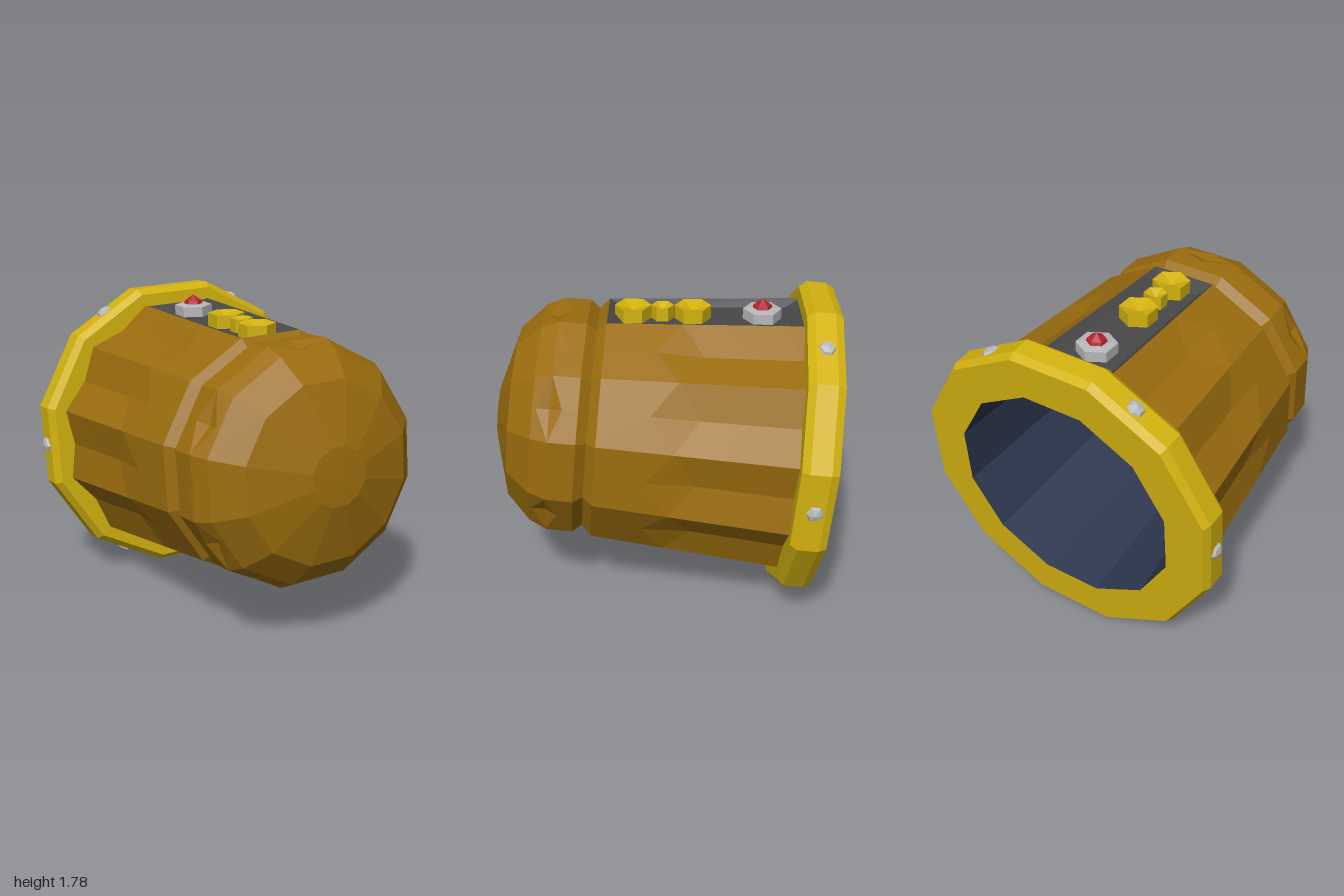
import * as THREE from 'three';

const SIDES = 12;
const HALF = Math.PI / SIDES;
const mat = (name, color) => {
  const m = new THREE.MeshStandardMaterial({ color });
  m.name = name;
  return m;
};

// Faceted copy of a geometry
function faceted(geo) {
  const g = geo.toNonIndexed();
  g.computeVertexNormals();
  return g;
}

// Turned shape along +z with a flat on top; profile rows are [apothem, z]
function turned(profile) {
  const pts = profile.map(([r, z]) => new THREE.Vector2(r / Math.cos(HALF), z));
  return faceted(new THREE.LatheGeometry(pts, SIDES, HALF).rotateX(Math.PI / 2));
}

// Small six-sided turned shape around y
function hexTurned(profile) {
  return faceted(new THREE.LatheGeometry(profile.map(p => new THREE.Vector2(...p)), 6));
}

// Triangles from lists of corner points
function triangles(tris) {
  const g = new THREE.BufferGeometry().setFromPoints(tris.flat());
  g.computeVertexNormals();
  return g;
}

function mesh(name, geo, material, parent) {
  const m = new THREE.Mesh(geo, material);
  m.name = name;
  parent.add(m);
  return m;
}

// Point at angle a (clockwise from the top), radius r and depth z
const polar = (a, r, z) => new THREE.Vector3(Math.sin(a) * r, Math.cos(a) * r, z);

// Outline of the main barrel and dome shoulder: [apothem, z]
const zBack = 0.2, zFront = 1.31, rBack = 0.785, rFront = 0.69;
const slope = (rBack - rFront) / (zFront - zBack);
const barrel = z => rBack - slope * (z - zBack);
const shoulder = z => z < 1.57 ? 0.675 - (z - 1.418) * 0.02 : 0.672 - (z - 1.57) * 0.45;

// One flat of the shell as zigzag strips from its middle line to both edges.
// mids rows are [z, dent depth]; edges are z values, one fewer than mids
function flat(tris, index, radius, mids, edges) {
  const a = index * 2 * HALF;
  const m = mids.map(([z, dent]) => polar(a, radius(z) - dent, z));
  for (const side of [-1, 1]) {
    const add = (p, q, r) => tris.push(side > 0 ? [p, q, r] : [p, r, q]);
    const e = edges.map(z => polar(a + side * HALF, radius(z) / Math.cos(HALF), z));
    e.forEach((p, k) => {
      add(m[k], m[k + 1], p);
      if (k + 1 < e.length) add(m[k + 1], e[k + 1], p);
    });
  }
}

export function createModel() {
  const bronze = mat('bronze', 0x9a6c0e);
  const gold = mat('gold', 0xd2b20f);
  const navy = mat('navy lining', 0x2e3850);
  const charcoal = mat('charcoal', 0x484848);
  const silver = mat('silver', 0xb8b8ba);
  const red = mat('red', 0xb0222e);

  const model = new THREE.Group();
  model.name = 'gauntletCup';
  const cup = new THREE.Group();
  cup.name = 'tiltedCup';
  cup.position.set(0.01, 0.877, -0.91);
  cup.rotation.set(-0.09, -0.085, 0.004);
  cup.scale.x = 1.025;
  model.add(cup);

  // Barrel with rows of dents between the studs; the top flat is left for the panel
  const d = 0.035;
  const barrelTris = [];
  for (let i = 1; i < SIDES; i++) {
    flat(barrelTris, i, barrel,
      [[0.08, 0], [0.215, d], [0.485, d], [0.755, d], [1.03, 0], [zFront, 0]],
      [0.08, 0.35, 0.62, 0.89, zFront]);
  }
  mesh('studdedBarrel', triangles(barrelTris), bronze, cup);

  // Groove, shoulder with diamond dents on every other flat, and domed end
  mesh('groove', turned([[rFront, zFront], [0.632, 1.363], [0.675, 1.418]]), bronze, cup);
  const shoulderTris = [];
  for (let i = 0; i < SIDES; i++) {
    flat(shoulderTris, i, shoulder,
      [[1.418, 0], [1.505, 0], [1.578, i % 2 ? 0 : 0.035], [1.65, 0], [1.67, 0]],
      [1.418, 1.57, 1.57, 1.67]);
  }
  mesh('dentedShoulder', triangles(shoulderTris), bronze, cup);
  mesh('dome', turned([[0.627, 1.67], [0.49, 1.81], [0.16, 1.908], [0, 1.913]]), bronze, cup);

  // Rim around the open end
  mesh('rim', turned([
    [0.642, 0.015], [0.862, 0.015], [0.884, 0.06], [0.884, 0.175], [0.85, 0.215], [0.74, 0.215],
  ]), gold, cup);

  // Hollow inside
  mesh('lining', turned([[0, 1.3], [0.57, 1.3], [0.642, 0.015]]), navy, cup);

  // Rivets on every other flat of the rim
  for (let i = 0; i < 6; i++) {
    const a = Math.PI / 6 + i * Math.PI / 3;
    const rivet = mesh('rivet', hexTurned([[0.056, -0.01], [0.04, 0.014], [0, 0.026]]), silver, cup);
    rivet.position.copy(polar(a, 0.884, 0.115));
    rivet.rotation.z = -a;
  }

  // Sunken control panel along the top flat
  const panel = new THREE.Group();
  panel.name = 'controlPanel';
  panel.position.set(0, rBack, zBack);
  panel.rotation.x = Math.atan(slope);
  cup.add(panel);
  const v = (x, y, z) => new THREE.Vector3(x, y, z);
  const length = Math.hypot(zFront - zBack, rBack - rFront);
  const wb = rBack * Math.tan(HALF), wf = rFront * Math.tan(HALF);
  const inX = 0.045, inZ = 0.09, floor = -0.04;
  const outer = [v(-wb, 0, 0), v(-wf, 0, length), v(wf, 0, length), v(wb, 0, 0)];
  const inner = [v(-wb + inX, floor, inZ), v(-wf + inX, floor, length - inZ),
    v(wf - inX, floor, length - inZ), v(wb - inX, floor, inZ)];
  const tray = [[inner[0], inner[1], inner[2]], [inner[0], inner[2], inner[3]]];
  for (let k = 0; k < 4; k++) {
    const n = (k + 1) % 4;
    tray.push([outer[k], outer[n], inner[n]], [outer[k], inner[n], inner[k]]);
  }
  mesh('panelTray', triangles(tray), charcoal, panel);

  // Dished gold buttons
  for (const [z, r] of [[0.633, 0.105], [0.805, 0.065], [0.972, 0.105]]) {
    mesh('goldButton', hexTurned([[r, floor], [r, 0.037], [0, 0.005]]), gold, panel).position.z = z;
  }

  // Red pointed lamp in a silver collar
  const lampZ = 0.237;
  mesh('lampCollar', hexTurned([[0.11, floor], [0.11, 0.02], [0.06, 0.028], [0, 0.028]]), silver, panel)
    .position.z = lampZ;
  mesh('lamp', hexTurned([[0.06, 0.02], [0.05, 0.045], [0, 0.08]]), red, panel).position.z = lampZ;

  return model;
}
